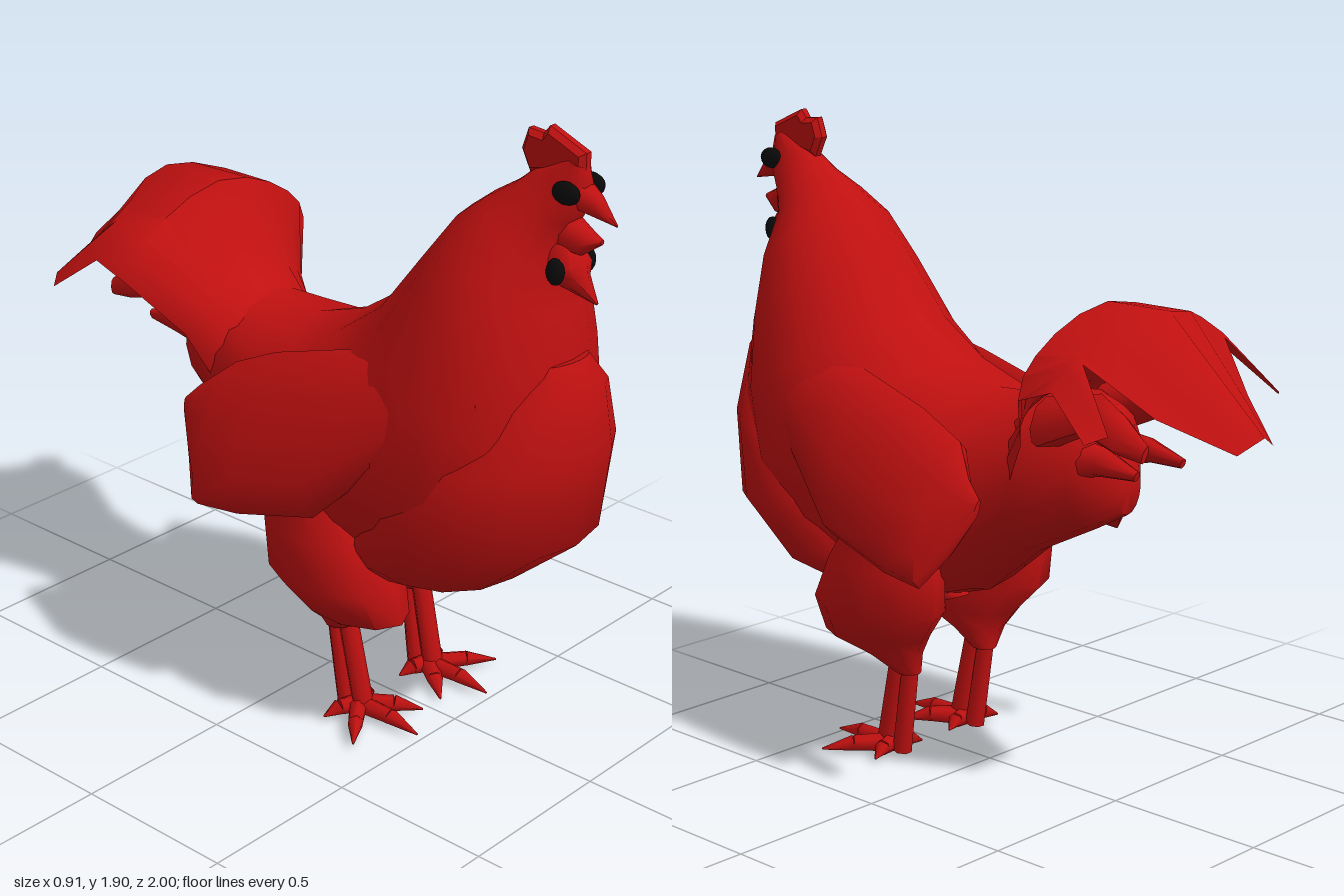
import * as THREE from 'three';
import { toCreasedNormals } from 'three/addons/utils/BufferGeometryUtils.js';

const red = new THREE.MeshStandardMaterial({ color: 0xc01010, side: THREE.DoubleSide });
red.name = 'featherRed';
const black = new THREE.MeshStandardMaterial({ color: 0x0a0a0a });
black.name = 'eyeBlack';

function indexed(pos, idx, crease) {
  const g = new THREE.BufferGeometry();
  g.setAttribute('position', new THREE.Float32BufferAttribute(pos, 3));
  g.setIndex(idx);
  return toCreasedNormals(g, crease);
}

// Closed loft; each section is [xA,yA,zA, xB,yB,zB, halfWidth], an ellipse with axis A-B.
// side = -1 mirrors the section centres to the other half.
function loft(sections, sides = 12, side = 1, crease = 1) {
  const pos = [], idx = [];
  const mids = sections.map(([xa, ya, za, xb, yb, zb]) =>
    [side * (xa + xb) / 2, (ya + yb) / 2, (za + zb) / 2]);
  sections.forEach(([xa, ya, za, xb, yb, zb, w], i) => {
    for (let j = 0; j < sides; j++) {
      const a = j / sides * Math.PI * 2, c = Math.cos(a) / 2;
      pos.push(mids[i][0] + side * c * (xa - xb) + Math.sin(a) * w,
        mids[i][1] + c * (ya - yb), mids[i][2] + c * (za - zb));
    }
  });
  const last = sections.length - 1, c0 = sections.length * sides;
  pos.push(...mids[0], ...mids[last]);
  for (let j = 0; j < sides; j++) {
    const k = (j + 1) % sides;
    for (let i = 0; i < last; i++) {
      const a = i * sides + j, b = i * sides + k;
      idx.push(a, b, a + sides, b, b + sides, a + sides);
    }
    idx.push(c0, k, j, c0 + 1, last * sides + j, last * sides + k);
  }
  return indexed(pos, idx, crease);
}

// Section on the centre line, from back (z, y) to front (z, y)
const mid = ([za, ya, zb, yb, w]) => [0, ya, za, 0, yb, zb, w];

// Tapered rod between two points
function rod(a, b, r0, r1, sides = 7) {
  const p = new THREE.Vector3(...a), d = new THREE.Vector3(...b).sub(p);
  const g = new THREE.CylinderGeometry(r1, r0, d.length(), sides);
  g.applyQuaternion(new THREE.Quaternion().setFromUnitVectors(
    new THREE.Vector3(0, 1, 0), d.clone().normalize()));
  g.translate(...p.addScaledVector(d, 0.5).toArray());
  return g;
}

export function createModel() {
  const root = new THREE.Group();
  root.name = 'rooster';
  const add = (name, geo, mat = red) => {
    const m = new THREE.Mesh(geo, mat);
    m.name = name;
    root.add(m);
    return m;
  };

  // Head, neck, back and rump in one sweep
  add('body', loft([
    [0.84, 1.84, 0.90, 1.82, 0.03], [0.74, 1.79, 0.92, 1.74, 0.055],
    [0.68, 1.74, 0.87, 1.66, 0.09], [0.60, 1.69, 0.83, 1.58, 0.14],
    [0.52, 1.63, 0.86, 1.42, 0.215], [0.42, 1.50, 0.88, 1.24, 0.275],
    [0.28, 1.32, 0.90, 1.00, 0.33], [0.13, 1.22, 0.86, 0.74, 0.36],
    [-0.04, 1.165, 0.66, 0.57, 0.36], [-0.15, 1.17, 0.30, 0.45, 0.33],
    [-0.25, 1.18, 0.00, 0.54, 0.25], [-0.36, 1.21, -0.20, 0.70, 0.22],
    [-0.46, 1.18, -0.42, 0.81, 0.16], [-0.54, 1.02, -0.53, 0.87, 0.05],
  ].map(mid), 16));

  // Bulging breast below the neck cape
  add('breast', loft([
    [0.75, 1.25, 0.90, 1.28, 0.10], [0.60, 1.10, 0.945, 1.20, 0.20],
    [0.40, 0.95, 0.955, 1.00, 0.31], [0.26, 0.82, 0.915, 0.73, 0.355],
    [0.20, 0.68, 0.70, 0.55, 0.32], [0.15, 0.58, 0.45, 0.47, 0.21],
    [0.10, 0.50, 0.30, 0.43, 0.06],
  ].map(mid), 16));

  // Comb
  const comb = new THREE.Shape([[0.9, 1.81], [0.9, 1.86], [0.84, 1.885], [0.78, 1.91], [0.76, 1.885],
    [0.71, 1.89], [0.69, 1.83], [0.72, 1.77]].map(([z, y]) => new THREE.Vector2(-z, y)));
  const combGeo = new THREE.ExtrudeGeometry(comb, {
    depth: 0.02, bevelEnabled: true, bevelThickness: 0.015, bevelSize: 0.015, bevelOffset: -0.015, bevelSegments: 1,
  });
  combGeo.translate(0, 0, -0.01).rotateY(Math.PI / 2);
  add('comb', combGeo);

  // Upper beak, lower beak and wattle
  add('upperBeak', loft([[0, 1.70, 0.86, 0, 1.80, 0.88, 0.045],
    [0, 1.69, 0.93, 0, 1.755, 0.94, 0.028], [0, 1.68, 1.0, 0, 1.685, 1.0, 0.003]], 8));
  add('lowerBeak', loft([[0, 1.58, 0.82, 0, 1.69, 0.86, 0.045],
    [0, 1.575, 0.89, 0, 1.65, 0.92, 0.035], [0, 1.62, 0.955, 0, 1.635, 0.955, 0.008]], 8));
  add('wattle', loft([[0, 1.61, 0.78, 0, 1.60, 0.88, 0.04], [0, 1.54, 0.77, 0, 1.55, 0.91, 0.07],
    [0, 1.49, 0.80, 0, 1.52, 0.915, 0.045], [0, 1.45, 0.945, 0, 1.455, 0.95, 0.004]], 8));

  // Arched tail: half rows of [x, y, z] from centre to edge, mirrored into a sheet
  const tailRows = [
    [[0, 1.16, -0.2], [0.08, 1.14, -0.2], [0.14, 1.1, -0.21], [0.18, 1.04, -0.22], [0.2, 0.98, -0.23], [0.2, 0.9, -0.24]],
    [[0, 1.22, -0.32], [0.09, 1.21, -0.32], [0.16, 1.19, -0.32], [0.21, 1.16, -0.33], [0.24, 1.13, -0.34], [0.25, 1.08, -0.35]],
    [[0, 1.47, -0.45], [0.12, 1.45, -0.45], [0.22, 1.41, -0.45], [0.3, 1.36, -0.45], [0.35, 1.31, -0.45], [0.38, 1.25, -0.46]],
    [[0, 1.47, -0.67], [0.1, 1.455, -0.66], [0.2, 1.42, -0.62], [0.28, 1.38, -0.6], [0.33, 1.35, -0.59], [0.38, 1.29, -0.58]],
    [[0, 1.17, -1], [0.08, 1.13, -0.97], [0.2, 1.22, -0.79], [0.3, 1.36, -0.62], [0.37, 1.2, -0.77], [0.42, 1.18, -0.73]],
  ];
  const tailPos = [], tailIdx = [];
  tailRows.forEach((row, r) => {
    const full = [...row.slice(1).reverse().map(([x, y, z]) => [-x, y, z]), ...row];
    full.forEach((p) => tailPos.push(...p));
    if (r === 0) return;
    for (let c = 0; c < full.length - 1; c++) {
      const a = (r - 1) * full.length + c, b = a + full.length;
      tailIdx.push(a, a + 1, b, a + 1, b + 1, b);
    }
  });
  add('tailFan', indexed(tailPos, tailIdx, 1));

  for (const s of [1, -1]) {
    const side = s > 0 ? 'left' : 'right';

    // Folded wing
    add(side + 'Wing', loft([
      [0.18, 1.32, 0.74, 0.24, 1.14, 0.76, 0.04], [0.22, 1.25, 0.44, 0.33, 0.92, 0.46, 0.08],
      [0.24, 1.20, 0.25, 0.38, 0.74, 0.28, 0.085], [0.25, 1.13, 0.02, 0.42, 0.68, 0.02, 0.08],
      [0.26, 1.06, -0.13, 0.43, 0.665, -0.13, 0.07], [0.32, 0.98, -0.22, 0.38, 0.76, -0.20, 0.03],
      [0.33, 0.93, -0.27, 0.34, 0.87, -0.26, 0.01],
    ], 12, s));

    // Rump feathers under the tail
    add(side + 'UpperRumpFeather', loft([
      [0.12, 1.20, -0.33, 0.14, 1.04, -0.33, 0.06], [0.14, 1.245, -0.55, 0.18, 1.13, -0.53, 0.04],
      [0.15, 1.20, -0.64, 0.19, 1.10, -0.64, 0.035], [0.17, 1.135, -0.74, 0.18, 1.085, -0.73, 0.012]], 8, s));
    add(side + 'LowerRumpFeather', loft([
      [0.08, 1.10, -0.36, 0.10, 0.96, -0.36, 0.05], [0.09, 1.08, -0.52, 0.11, 1.0, -0.52, 0.04],
      [0.10, 1.035, -0.65, 0.10, 1.005, -0.64, 0.012]], 8, s));

    // Thigh
    add(side + 'Thigh', loft([
      [0.25, 0.82, 0.05, 0.25, 0.82, 0.27, 0.09], [0.24, 0.64, -0.01, 0.24, 0.64, 0.40, 0.13],
      [0.23, 0.49, 0.01, 0.23, 0.51, 0.46, 0.16], [0.20, 0.40, 0.09, 0.20, 0.39, 0.46, 0.125],
      [0.18, 0.34, 0.13, 0.18, 0.34, 0.32, 0.075], [0.165, 0.28, 0.14, 0.165, 0.28, 0.22, 0.035],
    ], 10, s));

    // Shank with its rear tendon
    add(side + 'Shank', rod([s * 0.16, 0.03, 0.28], [s * 0.165, 0.33, 0.215], 0.032, 0.03));
    add(side + 'Tendon', rod([s * 0.16, 0.02, 0.215], [s * 0.165, 0.31, 0.17], 0.03, 0.026));

    // Toes
    [[0.16, 0.02, 0.49], [0.33, 0.025, 0.39], [0.04, 0.02, 0.41], [0.27, 0.02, 0.22], [0.06, 0.02, 0.23]]
      .forEach(([x, y, z], i) => {
        const knuckle = [0.16 + (x - 0.16) * 0.55, 0.038, 0.26 + (z - 0.26) * 0.55];
        add(side + 'Toe' + (i + 1), rod([s * 0.16, 0.035, 0.26], [s * knuckle[0], knuckle[1], knuckle[2]], 0.03, 0.024, 6));
        add(side + 'Claw' + (i + 1), rod([s * knuckle[0], knuckle[1], knuckle[2]], [s * x, y, z], 0.025, 0.003, 6));
      });

    // Eye and dark cheek spot
    const oval = (name, x, y, z, rx, ry, rz) => {
      const m = add(name, new THREE.SphereGeometry(1, 12, 8), black);
      m.position.set(s * x, y, z);
      m.scale.set(rx, ry, rz);
    };
    oval(side + 'Eye', 0.054, 1.757, 0.872, 0.02, 0.032, 0.045);
    oval(side + 'CheekSpot', 0.068, 1.54, 0.857, 0.02, 0.038, 0.028);
  }
  return root;
}
